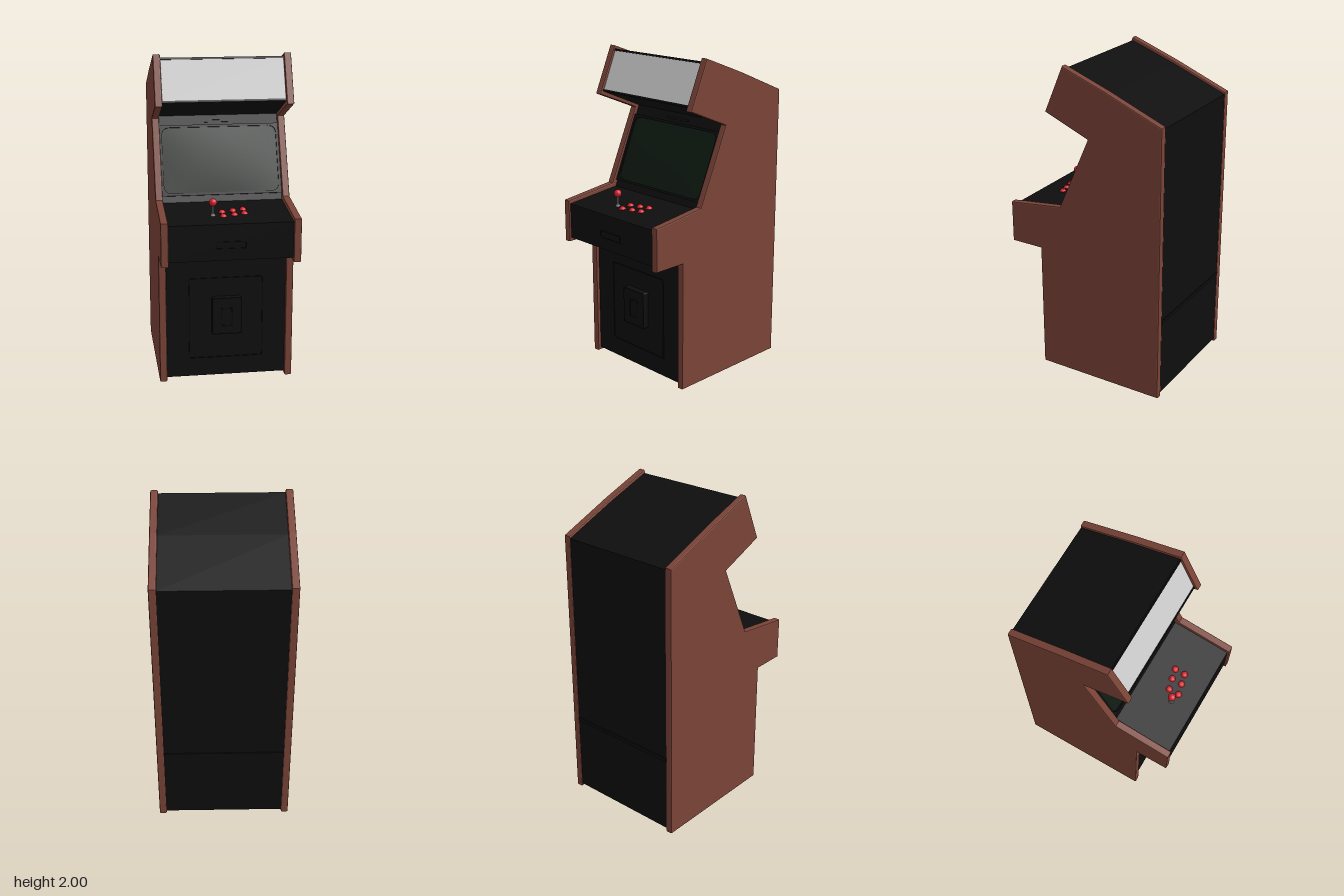
import * as THREE from 'three';
import { RoundedBoxGeometry } from 'three/addons/geometries/RoundedBoxGeometry.js';

const mat = (color, side = THREE.FrontSide) => new THREE.MeshStandardMaterial({ color, side });
const wood = mat(0x7a4337), black = mat(0x0e0e0e), dark = mat(0x080808);
const glassMat = mat(0x0f1a12), red = mat(0xd0202a), grey = mat(0xcccccc), steel = mat(0x777777);

function add(parent, name, geometry, material, x = 0, y = 0, z = 0) {
  const mesh = new THREE.Mesh(geometry, material);
  mesh.name = name;
  mesh.position.set(x, y, z);
  parent.add(mesh);
  return mesh;
}

// Extrudes a (z, y) profile along x, centred on x = 0
function extrudeSide(points, width, bevel = 0) {
  const shape = new THREE.Shape(points.map(([z, y]) => new THREE.Vector2(z, y)));
  const depth = width - 2 * bevel;
  const geometry = new THREE.ExtrudeGeometry(shape, {
    depth, bevelEnabled: bevel > 0, bevelSize: bevel, bevelThickness: bevel, bevelOffset: -bevel, bevelSegments: 2,
  });
  return geometry.translate(0, 0, -depth / 2).rotateY(-Math.PI / 2);
}

// Traces a rounded rectangle centred on the origin
function roundedRect(path, w, h, r) {
  const x = w / 2, y = h / 2;
  path.moveTo(-x + r, -y);
  path.lineTo(x - r, -y).quadraticCurveTo(x, -y, x, -y + r);
  path.lineTo(x, y - r).quadraticCurveTo(x, y, x - r, y);
  path.lineTo(-x + r, y).quadraticCurveTo(-x, y, -x, y - r);
  path.lineTo(-x, -y + r).quadraticCurveTo(-x, -y, -x + r, -y);
  return path;
}

// Rectangular frame with an opening, lying in the xy plane
function frame(w, h, border, depth, r = 0.004) {
  const shape = roundedRect(new THREE.Shape(), w, h, 0.002);
  shape.holes.push(roundedRect(new THREE.Path(), w - 2 * border, h - 2 * border, r));
  return new THREE.ExtrudeGeometry(shape, { depth, bevelEnabled: false, curveSegments: 6 });
}

// Group whose +z faces out of a panel leaning back by the given angle
function leaningGroup(parent, name, y, z, angle) {
  const group = new THREE.Group();
  group.name = name;
  group.position.set(0, y, z);
  group.rotation.x = -angle;
  parent.add(group);
  return group;
}

export function createModel() {
  const cabinet = new THREE.Group();
  cabinet.name = 'arcadeCabinet';

  // Wooden side panels
  const sideGeometry = extrudeSide([
    [0.315, 0], [0.315, 0.815], [0.527, 0.815], [0.527, 1.08], [0.165, 1.125], [-0.04, 1.59],
    [0.253, 1.71], [0.127, 2], [-0.17, 1.89], [-0.525, 1.745], [-0.525, 0],
  ], 0.045, 0.007);
  for (const side of [-1, 1]) add(cabinet, side > 0 ? 'leftPanel' : 'rightPanel', sideGeometry, wood, side * 0.392);

  // Black body set in between the panels
  add(cabinet, 'body', extrudeSide([
    [0.295, 0.02], [0.295, 0.84], [0.515, 0.84], [0.515, 1.06], [0.14, 1.1], [-0.07, 1.6],
    [0.225, 1.725], [0.12, 1.978], [-0.17, 1.873], [-0.521, 1.732], [-0.521, 0.02],
  ], 0.745), black);

  // Back door rail
  add(cabinet, 'backRail', new THREE.BoxGeometry(0.74, 0.022, 0.012), black, 0, 0.515, -0.521);

  // Screen with rounded bezel and bulging glass
  const screen = leaningGroup(cabinet, 'screen', 1.34, 0.04, 0.398);
  add(screen, 'bezel', frame(0.74, 0.44, 0.015, 0.012, 0.05), black);
  const glass = new THREE.PlaneGeometry(0.72, 0.42, 16, 12);
  const p = glass.attributes.position;
  for (let i = 0; i < p.count; i++) {
    const u = p.getX(i) / 0.36, v = p.getY(i) / 0.21;
    p.setZ(i, 0.003 + 0.007 * (1 - u * u) * (1 - v * v));
  }
  glass.computeVertexNormals();
  add(screen, 'glass', glass, glassMat);
  add(screen, 'speakerSlot', frame(0.18, 0.018, 0.004, 0.005), dark, 0, 0.245, 0);

  // Lit sign with rails above and below
  const sign = leaningGroup(cabinet, 'sign', 1.851, 0.1725, 0.398);
  add(sign, 'signFace', new THREE.BoxGeometry(0.735, 0.25, 0.008), grey);
  for (const y of [-0.13, 0.13]) add(sign, 'signRail', new THREE.BoxGeometry(0.74, 0.012, 0.016), black, 0, y, 0);

  // Lower door with coin box
  add(cabinet, 'doorFrame', frame(0.46, 0.525, 0.006, 0.006), dark, 0, 0.398, 0.294);
  add(cabinet, 'coinDoor', new RoundedBoxGeometry(0.18, 0.235, 0.045, 2, 0.006), black, 0, 0.422, 0.312);
  add(cabinet, 'coinDoorTrim', frame(0.18, 0.235, 0.006, 0.003), dark, 0, 0.422, 0.332);
  add(cabinet, 'coinSlotFrame', frame(0.075, 0.12, 0.008, 0.004), dark, 0, 0.415, 0.333);

  // Control box front plate
  add(cabinet, 'frontPlate', frame(0.18, 0.045, 0.004, 0.005), dark, 0, 0.933, 0.514);

  // Buttons and joystick on the sloping deck
  const deckY = (z) => 1.06 + (0.515 - z) * 0.1067;
  const button = new THREE.LatheGeometry(
    [[0, 0.014], [0.011, 0.014], [0.015, 0.011], [0.016, 0.006], [0.021, 0.005], [0.021, -0.004]]
      .reverse().map(([r, y]) => new THREE.Vector2(r, y)), 12);
  [[-0.03, 0.322], [0.038, 0.305], [0.101, 0.291]].forEach(([x, z]) => {
    for (const dz of [0, 0.065]) {
      add(cabinet, 'button', button, red, x, deckY(z + dz), z + dz).rotation.x = 0.106;
    }
  });
  const joystick = new THREE.Group();
  joystick.name = 'joystick';
  joystick.position.set(-0.09, deckY(0.37), 0.37);
  cabinet.add(joystick);
  add(joystick, 'joystickBase', new THREE.CylinderGeometry(0.012, 0.017, 0.012, 16), steel, 0, 0.005, 0);
  add(joystick, 'joystickShaft', new THREE.CylinderGeometry(0.006, 0.006, 0.07, 12), steel, 0, 0.035, 0);
  add(joystick, 'joystickBall', new THREE.SphereGeometry(0.024, 20, 14), red, 0, 0.08, 0);

  return cabinet;
}
